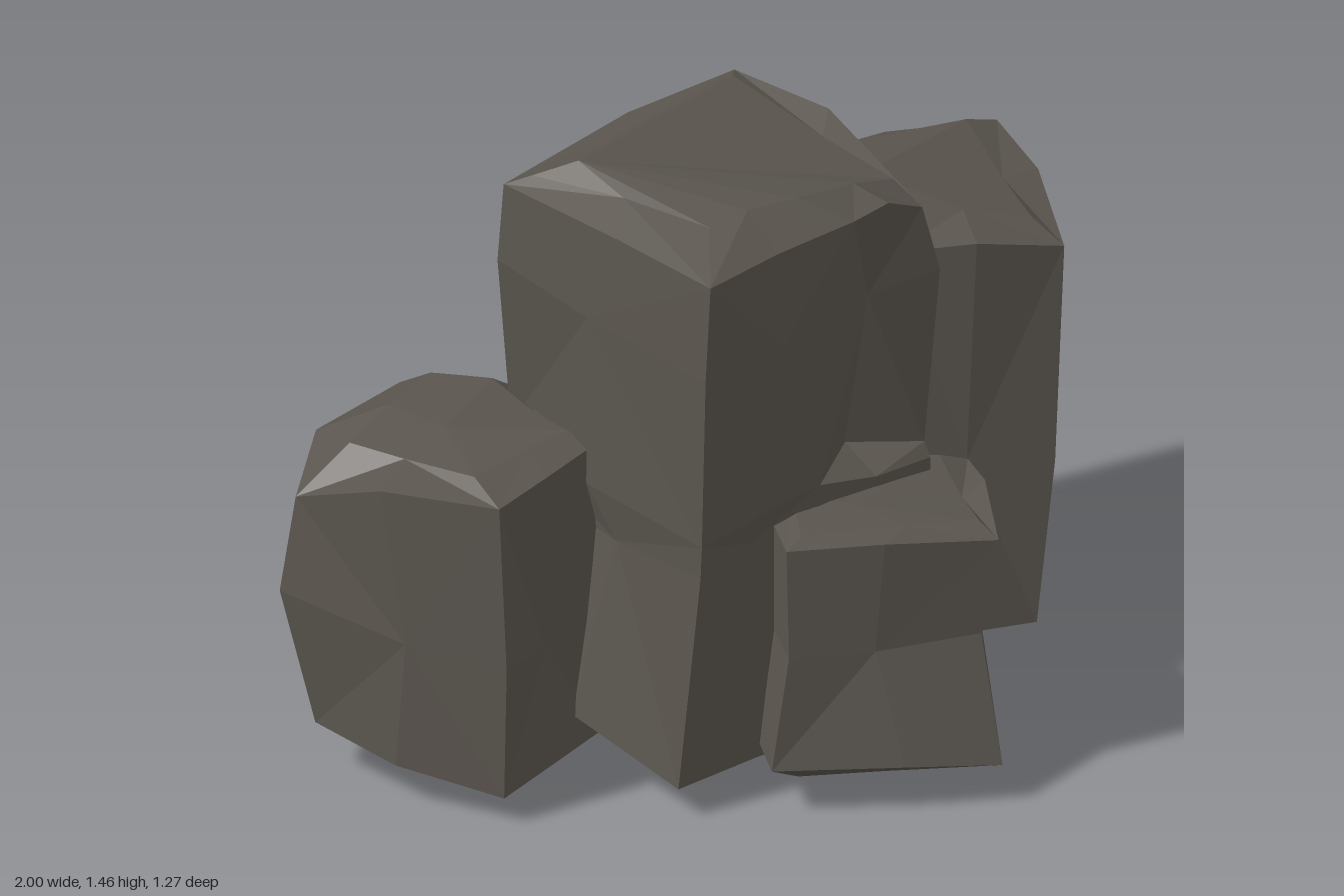
import * as THREE from 'three';

const stone = new THREE.MeshStandardMaterial({ color: 0x5a554e, flatShading: true });
stone.name = 'dark stone';

// A boulder from upright corner edges, counterclockwise seen from above and each
// listed bottom to top. Each side gets a middle edge pushed out by its bulge,
// given as one number or as one number per level.
function rock(name, corners, bulges, bottom, peak) {
  const edges = [];
  const top = corners[0].length - 1;
  corners.forEach((edge, side) => {
    const next = corners[(side + 1) % corners.length];
    edges.push(edge);
    edges.push(edge.map((a, level) => {
      const b = next[level];
      const dx = b[0] - a[0], dz = b[2] - a[2], len = Math.hypot(dx, dz);
      const rim = level === 0 || level === top;
      const wobble = 0.012 * Math.sin(level * 2.3 + side * 1.7);
      const bulge = Array.isArray(bulges[side]) ? bulges[side][level] : bulges[side];
      const out = rim ? 0 : bulge + wobble;
      const slide = 0.5 + 0.08 * Math.sin(level * 1.9 + side * 2.6);
      const y = level === top - 1 ? Math.max(a[1], b[1]) : (a[1] + b[1]) / 2 + wobble;
      return [a[0] + dx * slide - dz / len * out, y, a[2] + dz * slide + dx / len * out];
    }));
  });

  const positions = [];
  const tri = (...points) => points.forEach(p => positions.push(...p));
  edges.forEach((a, i) => {
    const b = edges[(i + 1) % edges.length];
    for (let k = 0; k < top; k++) {
      // alternate the diagonals for an irregular chipped surface
      if ((i + k) % 2) {
        tri(a[k], b[k], b[k + 1]);
        tri(a[k], b[k + 1], a[k + 1]);
      } else {
        tri(a[k], b[k], a[k + 1]);
        tri(b[k], b[k + 1], a[k + 1]);
      }
    }
    tri(a[top], b[top], peak);
    tri(b[0], a[0], bottom);
  });

  const geometry = new THREE.BufferGeometry();
  geometry.setAttribute('position', new THREE.Float32BufferAttribute(positions, 3));
  geometry.computeVertexNormals();
  const mesh = new THREE.Mesh(geometry, stone);
  mesh.name = name;
  return mesh;
}

export function createModel() {
  const group = new THREE.Group();
  group.name = 'rock cluster';

  // tall central block, with a chipped notch above a ledge in its front
  group.add(rock('centralRock', [
    [[-0.28, 0.04, 0.2], [-0.38, 0.08, 0.29], [-0.34, 0.62, 0.32], [-0.34, 0.7, 0.325],
      [-0.34, 1.13, 0.34], [-0.33, 1.37, 0.345], [-0.22, 1.42, 0.18]],
    [[0, 0.03, 0.18], [0, 0.08, 0.25], [0.02, 0.7, 0.27], [0.02, 0.73, 0.27],
      [0.08, 1.13, 0.265], [0.12, 1.37, 0.26], [0.02, 1.425, 0.18]],
    [[0.28, 0.04, 0.1], [0.38, 0.1, 0.2], [0.375, 0.66, 0.19], [0.375, 0.69, 0.165],
      [0.405, 1.13, 0.185], [0.36, 1.3, 0.18], [0.335, 1.345, 0.1]],
    [[0.25, 0.03, -0.3], [0.3, 0.1, -0.38], [0.25, 0.66, -0.4], [0.26, 0.74, -0.42],
      [0.29, 1.15, -0.45], [0.285, 1.39, -0.465], [0.25, 1.405, -0.42]],
    [[-0.3, 0.05, -0.25], [-0.46, 0.24, -0.3], [-0.4, 0.62, -0.34], [-0.41, 0.75, -0.34],
      [-0.46, 1.19, -0.32], [-0.45, 1.385, -0.31], [-0.4, 1.41, -0.27]],
  ], [0, [0, 0, 0, -0.11, -0.04, 0, 0], 0.03, 0.04, [0, 0.04, 0.03, 0.03, 0.01, 0.01, 0]],
  [0.15, 0, -0.15], [-0.32, 1.455, -0.2]));

  // medium block on the model's left
  group.add(rock('leftRock', [
    [[0.4, 0.07, -0.05], [0.36, 0.12, 0.02], [0.4, 0.6, 0], [0.41, 1.09, 0], [0.42, 1.15, -0.12]],
    [[0.72, 0.06, 0.03], [0.72, 0.1, 0.11], [0.77, 0.5, 0.11], [0.805, 1.03, 0.095], [0.78, 1.07, 0]],
    [[0.86, 0.03, -0.36], [0.89, 0.07, -0.42], [0.89, 0.53, -0.43], [0.998, 1.05, -0.46], [0.9, 1.09, -0.44]],
    [[0.38, 0.07, -0.5], [0.31, 0.1, -0.61], [0.315, 0.55, -0.63], [0.4, 1.04, -0.59], [0.45, 1.12, -0.48]],
    [[0.34, 0.07, -0.4], [0.28, 0.1, -0.45], [0.26, 0.5, -0.45], [0.29, 1.05, -0.45], [0.39, 1.15, -0.38]],
  ], [0.02, 0.02, 0.05, 0, 0], [0.6, 0.05, -0.25], [0.5, 1.16, -0.25]));

  // lower block on the model's right
  group.add(rock('rightRock', [
    [[-0.7, 0.07, 0], [-0.72, 0.07, 0.09], [-0.72, 0.4, 0.1], [-0.73, 0.81, 0.085], [-0.72, 0.84, -0.03]],
    [[-0.42, 0.06, -0.1], [-0.37, 0.08, -0.04], [-0.37, 0.4, -0.03], [-0.38, 0.82, -0.04], [-0.42, 0.84, -0.1]],
    [[-0.42, 0.08, -0.4], [-0.35, 0.12, -0.44], [-0.33, 0.5, -0.45], [-0.34, 0.78, -0.44], [-0.42, 0.84, -0.4]],
    [[-0.5, 0.08, -0.5], [-0.49, 0.12, -0.61], [-0.51, 0.5, -0.635], [-0.52, 0.76, -0.625], [-0.52, 0.84, -0.5]],
    [[-0.85, 0.11, -0.33], [-0.93, 0.13, -0.36], [-1, 0.47, -0.4], [-0.97, 0.71, -0.38], [-0.85, 0.83, -0.34]],
  ], [0, 0, 0, 0.07, 0.04], [-0.6, 0.06, -0.25], [-0.65, 0.85, -0.25]));

  // small block in front
  group.add(rock('frontRock', [
    [[-0.1, 0.06, 0.36], [-0.2, 0.12, 0.4], [-0.16, 0.4, 0.41], [-0.16, 0.67, 0.4], [-0.1, 0.68, 0.37]],
    [[0.24, 0.07, 0.55], [0.27, 0.1, 0.635], [0.27, 0.4, 0.55], [0.3, 0.64, 0.575], [0.3, 0.655, 0.5]],
    [[0.45, 0.03, 0.2], [0.53, 0.03, 0.165], [0.52, 0.4, 0.13], [0.525, 0.58, 0.12], [0.44, 0.62, 0.13]],
    [[0.1, 0.05, 0], [0.05, 0.1, -0.05], [0.05, 0.4, -0.05], [0.05, 0.6, -0.05], [0.1, 0.66, 0]],
  ], [0.01, 0, 0.05, 0.02], [0.2, 0.06, 0.3], [0.1, 0.67, 0.3]));

  return group;
}
